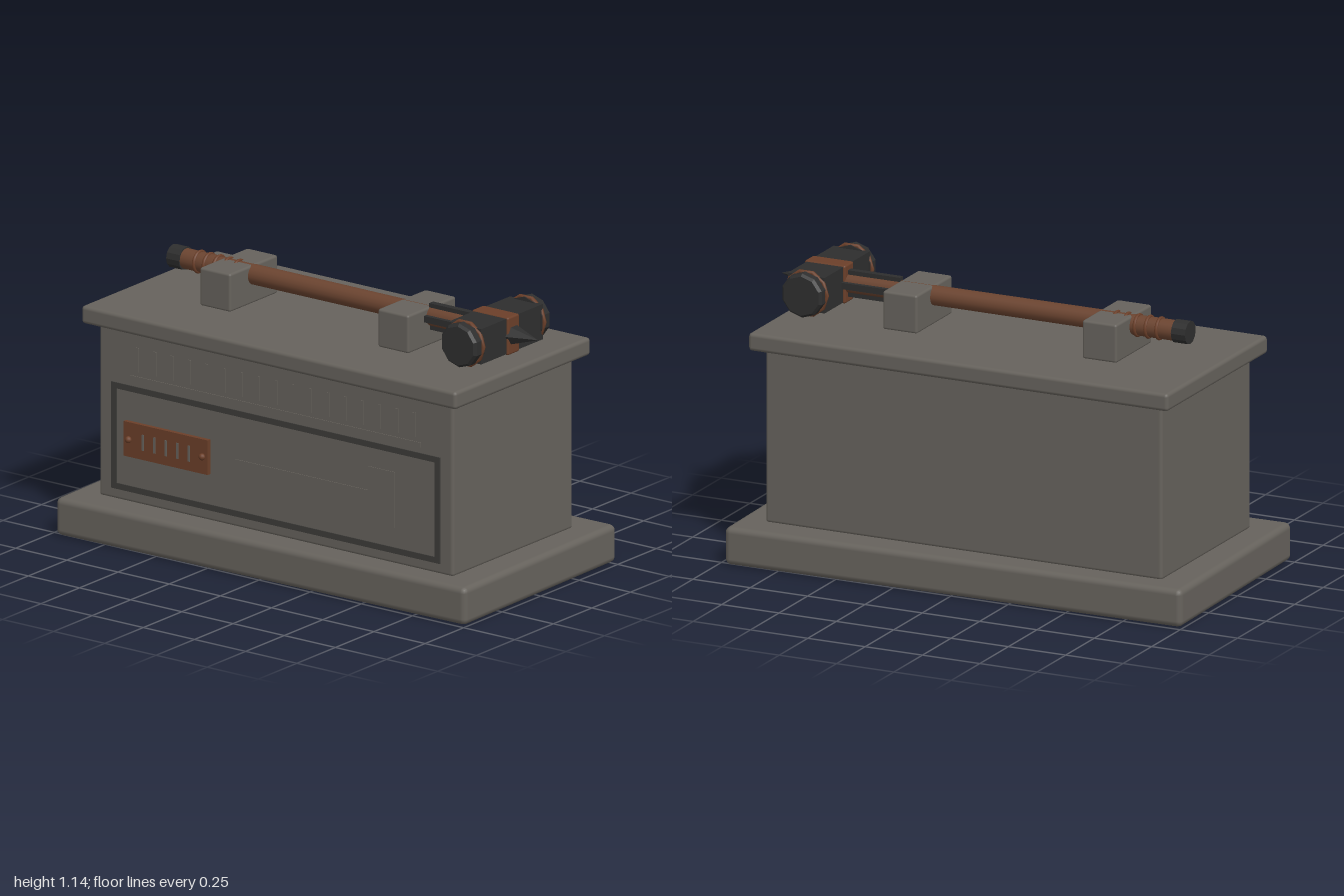
import * as THREE from 'three';
import { RoundedBoxGeometry } from 'three/addons/geometries/RoundedBoxGeometry.js';

export function createModel() {
  const model = new THREE.Group();
  model.name = 'hammerMonument';
  const mat = (name, color, flatShading = false) => {
    const m = new THREE.MeshStandardMaterial({ color, flatShading });
    m.name = name;
    return m;
  };
  const stone = mat('stone', 0x66625c);
  const darkStone = mat('darkStone', 0x3d3c39);
  const wood = mat('wood', 0x6b4430);
  const copper = mat('copper', 0x6b3f29);
  const iron = mat('iron', 0x2e2e2e, true);

  const add = (name, geo, material, x, y, z, parent = model) => {
    const mesh = new THREE.Mesh(geo, material);
    mesh.name = name;
    mesh.position.set(x, y, z);
    parent.add(mesh);
    return mesh;
  };
  const box = (w, h, d) => new THREE.BoxGeometry(w, h, d);
  const round = (w, h, d, r) => new RoundedBoxGeometry(w, h, d, 2, r);
  // Cylinder lying along x
  const rod = (r0, r1, len, sides) => new THREE.CylinderGeometry(r1, r0, len, sides).rotateZ(-Math.PI / 2);

  // Stone block: slightly turned plinth, body and cap slab
  add('plinth', round(1.975, 0.155, 1.015, 0.025), stone, 0, 0.0775, 0).rotation.y = 0.0203;
  add('body', round(1.73, 0.72, 0.78, 0.014), stone, 0, 0.51, 0);
  add('capSlab', round(1.83, 0.073, 0.88, 0.015), stone, 0, 0.895, 0);

  // Front panel frame
  const rect = (P, w, h) => {
    const p = new P();
    p.moveTo(-w, -h).lineTo(w, -h).lineTo(w, h).lineTo(-w, h).closePath();
    return p;
  };
  const frame = rect(THREE.Shape, 0.803, 0.218);
  frame.holes.push(rect(THREE.Path, 0.777, 0.194));
  add('panelFrame', new THREE.ExtrudeGeometry(frame, { depth: 0.006, bevelEnabled: false }), darkStone, 0, 0.413, 0.388);

  // Frieze of plain upright strokes above an underline bar
  add('friezeBar', box(1.425, 0.02, 0.006), stone, -0.003, 0.664, 0.39);
  for (let i = 0; i < 17; i++) {
    add('friezeStroke', box(0.013, 0.1, 0.006), stone, -0.675 + i * 0.0845, 0.742, 0.39);
  }

  // Hammer relief
  add('reliefShaft', box(0.65, 0.033, 0.006), stone, 0.127, 0.413, 0.39);
  add('reliefHead', box(0.13, 0.23, 0.006), stone, 0.516, 0.413, 0.39);

  // Copper plaque with strokes and rivets
  add('plaque', box(0.41, 0.142, 0.02), copper, -0.525, 0.415, 0.398);
  for (let i = 0; i < 5; i++) {
    add('plaqueStroke', box(0.01, 0.065, 0.006), stone, -0.635 + i * 0.056, 0.415, 0.408);
  }
  const rivet = new THREE.SphereGeometry(0.014, 12, 8);
  for (const x of [-0.705, -0.345]) add('plaqueRivet', rivet, copper, x, 0.415, 0.411);

  // Cradle blocks
  for (const x of [-0.475, 0.395]) add('cradle', round(0.15, 0.157, 0.31, 0.01), stone, x, 1.0075, 0);

  // War hammer, lying along x
  const hammer = new THREE.Group();
  hammer.name = 'hammer';
  hammer.position.y = 1.047;
  model.add(hammer);
  add('handle', rod(0.041, 0.039, 1.45, 16), wood, -0.02, 0, 0, hammer);
  add('pommel', rod(0.047, 0.047, 0.062, 12), iron, -0.764, 0, 0, hammer);
  const ring = new THREE.TorusGeometry(0.041, 0.007, 8, 20).rotateY(Math.PI / 2);
  for (let i = 0; i < 5; i++) add('gripRing', ring, copper, -0.665 + i * 0.0475, 0, 0, hammer);

  // Four iron straps around the handle neck
  for (let i = 0; i < 4; i++) {
    const a = i * Math.PI / 2;
    const strap = add('strap', box(0.25, 0.02, 0.026), iron, 0.59, 0.044 * Math.cos(a), 0.044 * Math.sin(a), hammer);
    strap.rotation.x = a;
  }

  // Head along z with flared faceted ends
  const head = new THREE.Group();
  head.name = 'hammerHead';
  head.position.x = 0.78;
  hammer.add(head);
  add('headBlock', box(0.16, 0.145, 0.4), iron, 0, 0, 0, head);
  add('headBand', round(0.178, 0.155, 0.075, 0.008), copper, 0, 0, 0, head);
  const capProfile = [[0, 0.185], [0.09, 0.185], [0.09, 0.236], [0.08, 0.247], [0, 0.247]].map(p => new THREE.Vector2(...p));
  const capGeo = new THREE.LatheGeometry(capProfile, 10).rotateX(Math.PI / 2);
  const collarGeo = new THREE.TorusGeometry(0.089, 0.009, 8, 10);
  for (const s of [1, -1]) {
    add('headCap', capGeo, iron, 0, 0, 0, head).rotation.y = s > 0 ? 0 : Math.PI;
    add('headCollar', collarGeo, copper, 0, 0, s * 0.198, head);
    add('headRivet', rivet, copper, 0, -0.088, s * 0.055, head);
  }
  add('spike', new THREE.ConeGeometry(0.044, 0.13, 6).rotateZ(-Math.PI / 2), iron, 0.142, 0, 0, head);
  return model;
}
